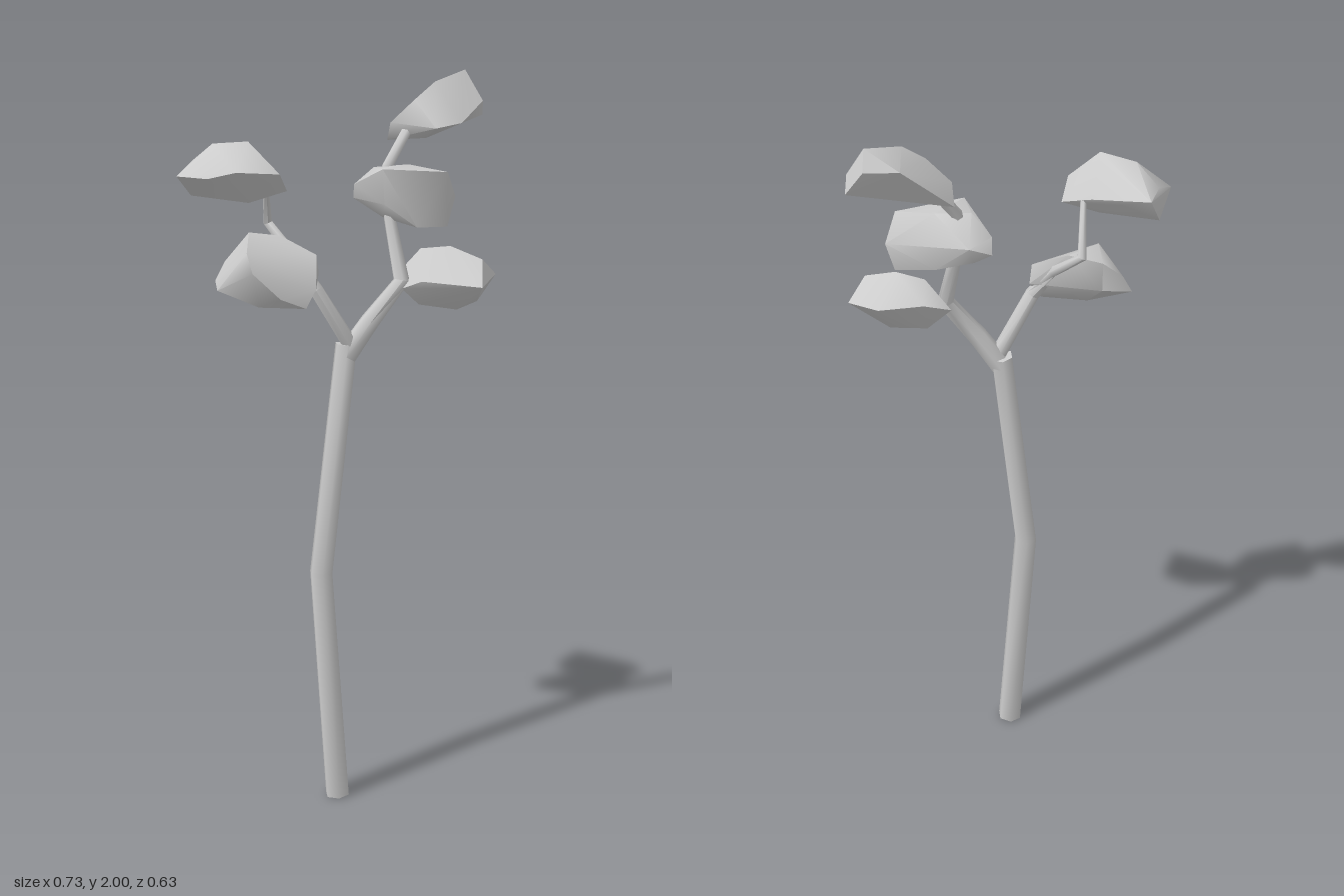
import * as THREE from 'three';
import { mergeVertices, toCreasedNormals } from 'three/addons/utils/BufferGeometryUtils.js';
import { ConvexGeometry } from 'three/addons/geometries/ConvexGeometry.js';

const material = new THREE.MeshStandardMaterial({ color: 0xcccccc });
const SIDES = 6;

// Bent, tapering limb: six-sided rings [x, y, z, radius] joined and capped.
function limb(name, stations) {
  const points = stations.map(([x, y, z]) => new THREE.Vector3(x, y, z));
  const pos = [], index = [], n = stations.length;
  points.forEach((p, i) => {
    const tangent = points[Math.min(i + 1, n - 1)].clone().sub(points[Math.max(i - 1, 0)]).normalize();
    const u = new THREE.Vector3(1, 0, 0).addScaledVector(tangent, -tangent.x).normalize();
    const v = new THREE.Vector3().crossVectors(tangent, u);
    for (let k = 0; k < SIDES; k++) {
      const a = (k / SIDES) * Math.PI * 2;
      const q = p.clone().addScaledVector(u, Math.cos(a) * stations[i][3]).addScaledVector(v, Math.sin(a) * stations[i][3]);
      pos.push(q.x, q.y, q.z);
      if (i < n - 1) {
        const a0 = i * SIDES + k, a1 = i * SIDES + (k + 1) % SIDES;
        index.push(a0, a1, a1 + SIDES, a0, a1 + SIDES, a0 + SIDES);
      }
    }
  });
  const last = (n - 1) * SIDES;
  for (let k = 1; k < SIDES - 1; k++) {
    index.push(0, k + 1, k, last, last + k, last + k + 1);
  }
  const geometry = new THREE.BufferGeometry();
  geometry.setAttribute('position', new THREE.Float32BufferAttribute(pos, 3));
  geometry.setIndex(index);
  return finish(name, geometry, 1.1);
}

// Faceted leaf clump: hull around a few corners, softened across shallow edges.
function leaf(name, corners) {
  const hull = new ConvexGeometry(corners.map((c) => new THREE.Vector3(...c)));
  hull.deleteAttribute('normal');
  return finish(name, mergeVertices(hull, 1e-4), 0.85);
}

function finish(name, geometry, crease) {
  const mesh = new THREE.Mesh(toCreasedNormals(geometry, crease), material);
  mesh.name = name;
  return mesh;
}

export function createModel() {
  const tree = new THREE.Group();
  tree.name = 'tree';

  // Trunk and its two forking branches
  tree.add(
    limb('trunk', [[-0.005, 0, 0.105, 0.035], [-0.043, 0.67, 0.125, 0.033], [0.003, 1.3, 0.055, 0.031]]),
    limb('leftBranch', [
      [0.005, 1.27, 0.058, 0.03], [0.06, 1.36, 0.03, 0.027], [0.135, 1.47, -0.012, 0.023],
      [0.085, 1.64, -0.045, 0.016], [0.07, 1.76, -0.072, 0.016], [0.1, 1.85, -0.14, 0.015],
    ]),
    limb('rightBranch', [
      [0.015, 1.3, 0.055, 0.022], [-0.05, 1.46, 0.135, 0.02], [-0.11, 1.54, 0.135, 0.015],
      [-0.205, 1.62, 0.092, 0.013], [-0.17, 1.74, 0.18, 0.008],
    ]),
  );

  // Leaf clumps on the left branch, top to bottom
  tree.add(
    leaf('leftTopLeaf', [
      [0.04, 1.82, -0.15], [0.06, 1.87, -0.12], [0.19, 1.86, -0.115], [0.24, 1.87, -0.18],
      [0.265, 1.92, -0.28], [0.255, 1.88, -0.31], [0.21, 2, -0.29], [0.2, 1.95, -0.32],
      [0.12, 1.95, -0.28], [0.16, 1.975, -0.19], [0.12, 1.93, -0.14], [0.15, 1.83, -0.15],
    ]),
    leaf('leftMiddleLeaf', [
      [-0.03, 1.67, -0.08], [-0.02, 1.71, -0.06], [0.09, 1.765, 0.015], [0.23, 1.75, -0.1],
      [0.235, 1.68, -0.15], [0.22, 1.6, -0.13], [0.01, 1.7, -0.13], [0.17, 1.61, -0.03],
      [0.09, 1.67, 0], [0.07, 1.63, -0.04], [0.1, 1.63, -0.14], [0.04, 1.76, -0.05],
      [0.12, 1.765, -0.1], [0.01, 1.65, -0.1],
    ]),
    leaf('leftLowerLeaf', [
      [0.365, 1.47, 0.005], [0.355, 1.48, -0.14], [0.34, 1.53, -0.07], [0.33, 1.42, -0.06],
      [0.25, 1.56, -0.07], [0.27, 1.39, -0.07], [0.26, 1.485, -0.155], [0.2, 1.475, 0.01],
      [0.17, 1.4, -0.05], [0.17, 1.55, -0.06], [0.1, 1.47, -0.05], [0.15, 1.5, -0.11],
      [0.14, 1.45, 0],
    ]),
  );

  // Leaf clumps on the right branch
  tree.add(
    leaf('rightTopLeaf', [
      [-0.365, 1.78, 0.15], [-0.365, 1.7, 0.22], [-0.365, 1.76, 0.3], [-0.36, 1.79, 0.22],
      [-0.27, 1.76, 0.315], [-0.19, 1.78, 0.315], [-0.29, 1.84, 0.24], [-0.19, 1.85, 0.24],
      [-0.2, 1.69, 0.22], [-0.28, 1.75, 0.165], [-0.105, 1.77, 0.235], [-0.11, 1.72, 0.18],
      [-0.2, 1.75, 0.165],
    ]),
    leaf('rightLowerLeaf', [
      [-0.3, 1.48, 0.22], [-0.28, 1.53, 0.2], [-0.21, 1.61, 0.2], [-0.05, 1.55, 0.13],
      [-0.03, 1.47, 0.18], [-0.05, 1.42, 0.2], [-0.17, 1.42, 0.23], [-0.28, 1.46, 0.25],
      [-0.16, 1.52, 0.29], [-0.18, 1.57, 0.28], [-0.24, 1.58, 0.155], [-0.05, 1.5, 0.115],
      [-0.24, 1.5, 0.155], [-0.1, 1.45, 0.25], [-0.15, 1.595, 0.135],
    ]),
  );
  return tree;
}
